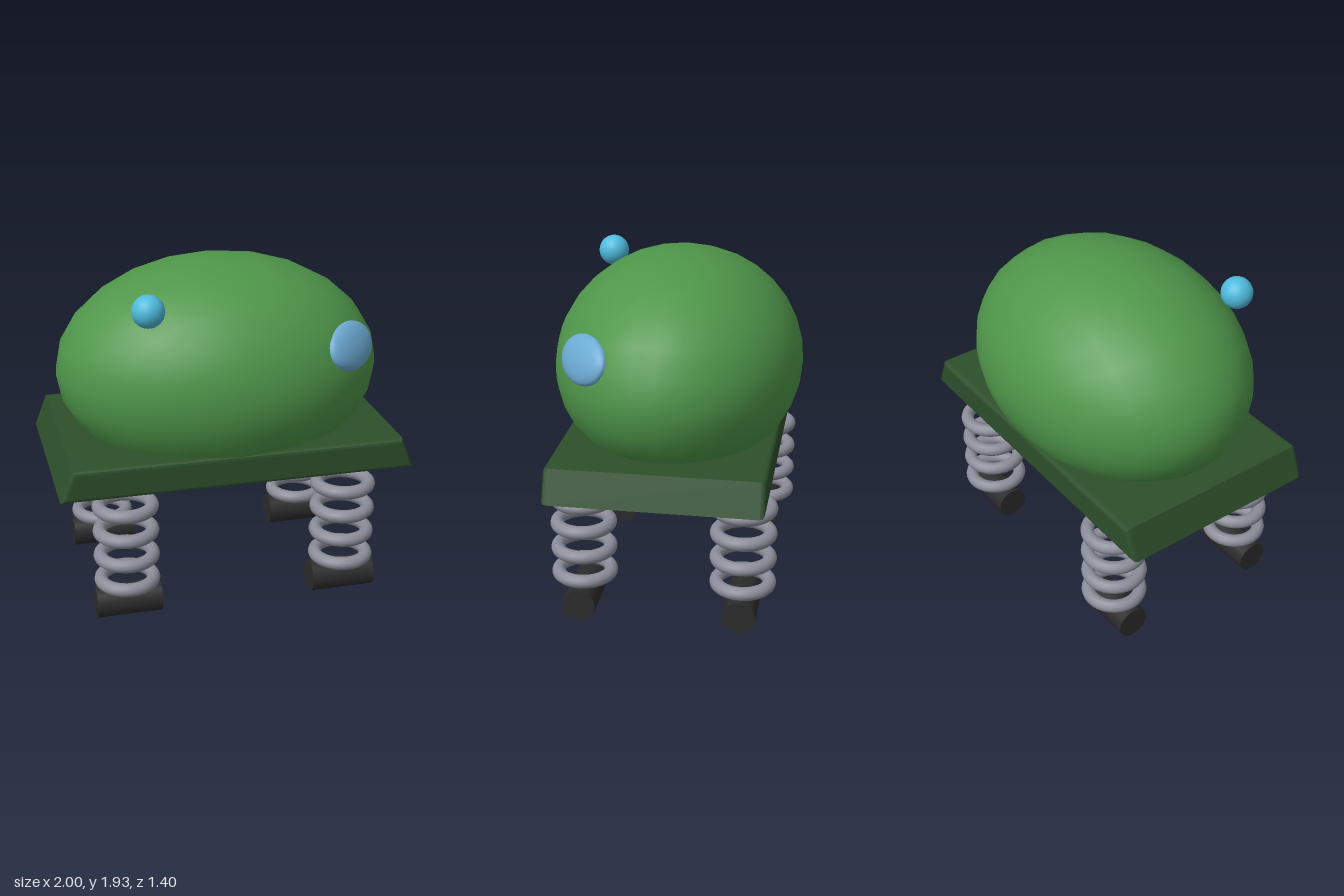
import * as THREE from 'three';

const paint = (name, color) => {
  const m = new THREE.MeshStandardMaterial({ color });
  m.name = name;
  return m;
};

export function createModel() {
  const leafGreen = paint('leafGreen', 0x4f964a);
  const darkGreen = paint('darkGreen', 0x2d4f2b);
  const steel = paint('steel', 0x8c8d99);
  const rubber = paint('rubber', 0x2b2b2b);
  const cyan = paint('cyan', 0x4fbbdd);
  const paleBlue = paint('paleBlue', 0x6dabd4);

  const model = new THREE.Group();
  model.name = 'springWalker';
  const add = (parent, name, geometry, material, x = 0, y = 0, z = 0) => {
    const mesh = new THREE.Mesh(geometry, material);
    mesh.name = name;
    mesh.position.set(x, y, z);
    parent.add(mesh);
    return mesh;
  };

  // Egg-shaped body, poles along z
  const egg = new THREE.SphereGeometry(1, 24, 16).rotateX(Math.PI / 2).scale(0.925, 0.63, 0.7);
  add(model, 'body', egg, leafGreen, 0, 1.305, 0);

  // Platform: trapezoid section along z with bevelled ends
  const section = new THREE.Shape([
    new THREE.Vector2(-1, 0.787), new THREE.Vector2(1, 0.787),
    new THREE.Vector2(0.93, 0.968), new THREE.Vector2(-0.93, 0.968),
  ]);
  const bevel = 0.025;
  const slab = new THREE.ExtrudeGeometry(section, {
    depth: 1.18 - 2 * bevel, bevelThickness: bevel, bevelSize: bevel, bevelOffset: -bevel, bevelSegments: 3,
  }).translate(0, 0, -0.59 + bevel);
  add(model, 'platform', slab, darkGreen);

  // Legs: stacked rings above a crosswise roller foot
  const ring = new THREE.TorusGeometry(0.148, 0.038, 12, 32).rotateX(Math.PI / 2);
  const roller = new THREE.CylinderGeometry(0.093, 0.093, 0.37, 16).rotateZ(Math.PI / 2);
  for (const sx of [-1, 1]) {
    for (const sz of [-1, 1]) {
      const leg = new THREE.Group();
      leg.name = (sz > 0 ? 'front' : 'back') + (sx > 0 ? 'Left' : 'Right') + 'Leg';
      leg.position.set(sx * 0.63, 0, sz * 0.447);
      for (let i = 0; i < 4; i++) add(leg, 'springRing', ring, steel, 0, 0.225 + i * 0.15, 0);
      add(leg, 'foot', roller, rubber, 0, 0.093, 0);
      model.add(leg);
    }
  }

  // Small round knob and shallow oval lens, set on the body
  add(model, 'knob', new THREE.SphereGeometry(0.089, 20, 14), cyan, -0.485, 1.79, 0.48);
  const lens = add(model, 'lens', new THREE.SphereGeometry(1, 28, 20).scale(0.21, 0.135, 0.06),
    paleBlue, 0.655, 1.485, 0.415);
  lens.lookAt(0.655 + 0.61, 1.485 + 0.37, 0.415 + 0.7);

  return model;
}
